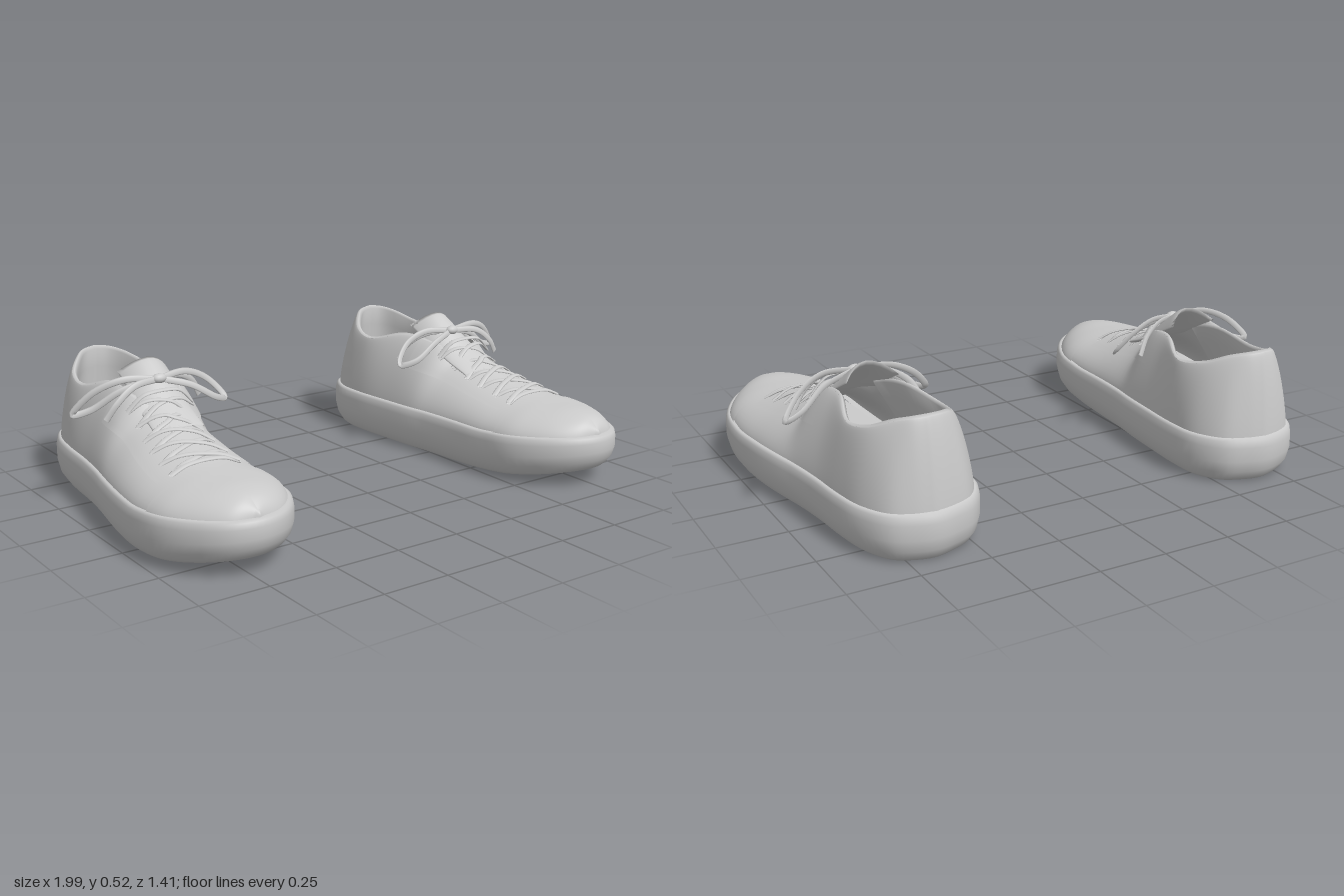
import * as THREE from 'three';
import { mergeVertices } from 'three/addons/utils/BufferGeometryUtils.js';

const V = (x, y, z) => new THREE.Vector3(x, y, z);
const solid = new THREE.MeshStandardMaterial({ color: 0xcccccc });
const open = new THREE.MeshStandardMaterial({ color: 0xcccccc, side: THREE.DoubleSide });

// Stations from toe to heel:
// base z, base inner x, base outer x, edge z, edge inner x, edge outer x, edge y, wall roundness
const stations = [
  [0.685, 0.74, 0.74, 0.685, 0.74, 0.74, 0.215, 1],
  [0.66, 0.655, 0.825, 0.63, 0.742, 0.742, 0.25, 1],
  [0.59, 0.575, 0.895, 0.56, 0.74, 0.74, 0.266, 1],
  [0.46, 0.505, 0.96, 0.44, 0.735, 0.735, 0.274, 1],
  [0.32, 0.49, 0.975, 0.32, 0.73, 0.73, 0.285, 1.1],
  [0.15, 0.485, 0.96, 0.15, 0.715, 0.715, 0.322, 1.2],
  [0, 0.475, 0.935, 0.02, 0.7, 0.7, 0.37, 1.3],
  [-0.1, 0.462, 0.915, -0.06, 0.6, 0.77, 0.415, 1.4],
  [-0.24, 0.45, 0.895, -0.22, 0.545, 0.79, 0.44, 1.5],
  [-0.4, 0.44, 0.88, -0.38, 0.48, 0.83, 0.403, 1.5],
  [-0.53, 0.45, 0.855, -0.5, 0.505, 0.81, 0.42, 1.5],
  [-0.63, 0.51, 0.8, -0.58, 0.56, 0.755, 0.455, 1.5],
  [-0.67, 0.59, 0.73, -0.625, 0.61, 0.71, 0.47, 1.5],
  [-0.685, 0.66, 0.66, -0.64, 0.66, 0.66, 0.475, 1.5],
];
const LAST = stations.length - 1;
const BASE_Y = 0.16;
const curve = (pts, closed = false) => new THREE.CatmullRomCurve3(pts, closed);
const inner = stations.map((s) => V(s[1], BASE_Y, s[0]));
const outer = stations.map((s) => V(s[2], BASE_Y, s[0]));
const sides = {
  inner: { base: curve(inner), edge: curve(stations.map((s) => V(s[4], s[6], s[3]))) },
  outer: { base: curve(outer), edge: curve(stations.map((s) => V(s[5], s[6], s[3]))) },
};
const outline = curve([...outer, ...inner.slice(1, LAST).reverse()], true);

// Smooth surface from a function of (u, v), both 0..1
function grid(fn, nu, nv) {
  const pos = [], idx = [];
  for (let j = 0; j <= nv; j++)
    for (let i = 0; i <= nu; i++) pos.push(...fn(i / nu, j / nv).toArray());
  for (let j = 0; j < nv; j++)
    for (let i = 0; i < nu; i++) {
      const a = j * (nu + 1) + i, d = a + nu + 1;
      idx.push(a, a + 1, d, a + 1, d + 1, d);
    }
  let g = new THREE.BufferGeometry();
  g.setAttribute('position', new THREE.Float32BufferAttribute(pos, 3));
  g.setIndex(idx);
  g = mergeVertices(g, 1e-4);
  g.computeVertexNormals();
  return g;
}

// Point on the upper: side, station number, height 0 (sole) .. 1 (edge), outward lift
function upperPoint(side, station, v, lift = 0) {
  const k = Math.min(Math.floor(station), LAST - 1);
  const p = THREE.MathUtils.lerp(stations[k][7], stations[k + 1][7], station - k);
  const b = sides[side].base.getPoint(station / LAST);
  const e = sides[side].edge.getPoint(station / LAST);
  const a = (v * Math.PI) / 2;
  const c = Math.pow(Math.max(0, Math.cos(a)), p), s = Math.pow(Math.sin(a), p);
  const q = V(e.x + (b.x - e.x) * c, b.y + (e.y - b.y) * s, e.z + (b.z - e.z) * c);
  return q.add(V(q.x - 0.71, q.y - 0.1, 0).normalize().multiplyScalar(lift));
}

// Sole outline offset by d and shrunk towards the middle by k
function outlinePoint(u, d, k = 1) {
  const p = outline.getPoint(u % 1), t = outline.getTangent(u % 1);
  const n = V(-t.z, 0, t.x).normalize();
  p.addScaledVector(n, d);
  return V(0.7 + (p.x - 0.7) * k, 0, p.z * k);
}
const soleBottom = (z) => (z > 0.1 ? 0.075 * ((z - 0.1) / 0.6) ** 2 : 0);
const soleTop = (z) => 0.173 + 0.075 * Math.max(0, z - 0.3);

// Sole rows: shrink, offset, height fraction
const soleRows = [
  [0, -0.03, 0], [0.4, -0.03, 0], [0.75, -0.03, 0], [0.97, -0.03, 0], [1, -0.027, 0], [1, -0.012, 0.07],
  [1, 0.008, 0.25], [1, 0.018, 0.5], [1, 0.018, 0.8], [1, 0.013, 0.95], [1, 0.004, 1], [1, -0.03, 1.02],
];
function soleGeometry() {
  return grid((u, v) => {
    const [k, d, f] = soleRows[Math.round(v * (soleRows.length - 1))];
    const p = outlinePoint(u, d, k);
    p.y = THREE.MathUtils.lerp(soleBottom(p.z), soleTop(p.z), f);
    return p;
  }, 104, soleRows.length - 1);
}

// Flat ribbon along a path, its face turned towards "face"
function ribbon(pts, face, width = 0.011, n = 24) {
  const c = curve(pts);
  return grid((u, v) => {
    const t = c.getTangent(u);
    const s = t.clone().cross(face).normalize(), m = s.clone().cross(t);
    const a = v * Math.PI * 2;
    return c.getPoint(u).addScaledVector(s, width * Math.cos(a)).addScaledVector(m, 0.004 * Math.sin(a));
  }, n, 8);
}

// Walk around the upper: outer side toe to heel, then inner side back
const around = (u, from) => {
  const w = from + u * 2 * (LAST - from);
  return w <= LAST ? ['outer', w] : ['inner', 2 * LAST - w];
};

// Padded collar and lining inside the opening
function liningGeometry() {
  const centre = V(0.66, 0, -0.36);
  const shrink = (p, k, y) => V(centre.x + (p.x - centre.x) * k, y, centre.z + (p.z - centre.z) * k);
  return grid((u, v) => {
    const [side, st] = around(u, 7);
    const e = upperPoint(side, st, 1), b = upperPoint(side, st, 0);
    const rim = shrink(e, 0.9, e.y - 0.006), foot = shrink(b, 0.86, 0.185);
    const row = Math.round(v * 6);
    if (row === 0) return e;
    if (row === 1) return shrink(e, 0.95, e.y + 0.006);
    return rim.lerp(foot, (row - 2) / 4);
  }, 72, 6);
}

// Arched tongue rising out of the throat
function tongueGeometry() {
  const path = curve([V(0.69, 0.325, 0.1), V(0.68, 0.385, 0), V(0.67, 0.45, -0.08), V(0.665, 0.525, -0.18)]);
  return grid((u, v) => {
    const a = v * Math.PI * 2, s = Math.cos(a), bend = s * s * u;
    const th = 0.014 * Math.sqrt(Math.max(0, 1 - u ** 8));
    return path.getPoint(u).add(V(0.095 * s, -0.05 * bend + th * Math.sin(a), -0.045 * bend));
  }, 20, 24);
}

// Lace across the upper from outer station a to inner station b
function lace(a, b, lift) {
  const pts = [-1, -0.6, -0.25, 0.25, 0.6, 1].map((s) => {
    const st = THREE.MathUtils.lerp(a, b, (s + 1) / 2);
    const p = upperPoint(s < 0 ? 'outer' : 'inner', st, 1 - 0.38 * Math.abs(s));
    p.y += lift + 0.025 * Math.max(0, st - 5.5) - (Math.abs(s) === 1 ? 0.008 : 0);
    return p;
  });
  return ribbon(pts, V(0, 1, 0.3));
}

function shoeParts() {
  const parts = [
    ['sole', soleGeometry(), solid],
    ['upper', grid((u, v) => upperPoint(...around(u, 0), v), 128, 14), open],
    ['lining', liningGeometry(), open],
    ['insole', grid((u, v) => outlinePoint(u, -0.04, v).setY(0.188), 72, 2), open],
    ['tongue', tongueGeometry(), open],
  ];
  // Toe cap and eyelet panels lie just above the upper
  for (const side of ['outer', 'inner']) {
    parts.push(['toeCap', grid((u, v) => upperPoint(side, 0.3 + u * (2.95 - 0.35 * v * v + 0.35), v, 0.005 * Math.min(1, u * 4)), 24, 14), open]);
    parts.push(['eyeletPanel', grid((u, v) => upperPoint(side, 3.9 + u * 3.6, 0.48 + 0.44 * v, 0.005), 24, 8), open]);
  }
  // Crossed laces
  const rows = [3.85, 4.35, 4.85, 5.35, 5.9, 6.5];
  parts.push(['lace', lace(rows[0], rows[0], 0.012), open]);
  for (let i = 0; i < rows.length - 1; i++) {
    parts.push(['lace', lace(rows[i], rows[i + 1], 0.011), open]);
    parts.push(['lace', lace(rows[i + 1], rows[i], 0.018), open]);
  }
  parts.push(['lace', lace(6.5, 6.5, 0.022), open]);
  // Bow
  const knot = V(0.67, 0.468, -0.08), front = V(0, 0.25, 1);
  const bow = (name, pts) => parts.push([name, ribbon(pts, front, 0.012, 40), open]);
  bow('bowLoop', [knot, V(0.8, 0.477, -0.1), V(0.9, 0.435, -0.14), V(0.962, 0.36, -0.175),
    V(0.9, 0.372, -0.155), V(0.8, 0.435, -0.115), knot]);
  bow('bowLoop', [knot, V(0.55, 0.472, -0.105), V(0.46, 0.43, -0.11), V(0.405, 0.36, -0.08),
    V(0.46, 0.375, -0.045), V(0.56, 0.435, -0.05), knot]);
  bow('laceEnd', [knot, V(0.78, 0.46, -0.055), V(0.85, 0.41, -0.05), V(0.89, 0.355, -0.06)]);
  bow('laceEnd', [knot, V(0.57, 0.46, -0.12), V(0.5, 0.42, -0.15), V(0.465, 0.36, -0.165)]);
  const ball = new THREE.SphereGeometry(1, 16, 10).scale(0.028, 0.018, 0.02).translate(knot.x, knot.y, knot.z);
  parts.push(['knot', ball, solid]);
  return parts;
}

// Mirror a geometry across x = 0, keeping its faces outward
function mirrored(g) {
  const m = g.clone().scale(-1, 1, 1);
  m.setIndex(Array.from(m.index.array).reverse());
  return m;
}

export function createModel() {
  const model = new THREE.Group();
  const left = new THREE.Group(), right = new THREE.Group();
  left.name = 'leftShoe';
  right.name = 'rightShoe';
  for (const [name, geometry, material] of shoeParts()) {
    const a = new THREE.Mesh(geometry, material), b = new THREE.Mesh(mirrored(geometry), material);
    a.name = b.name = name;
    left.add(a);
    right.add(b);
  }
  model.add(left, right);
  return model;
}
